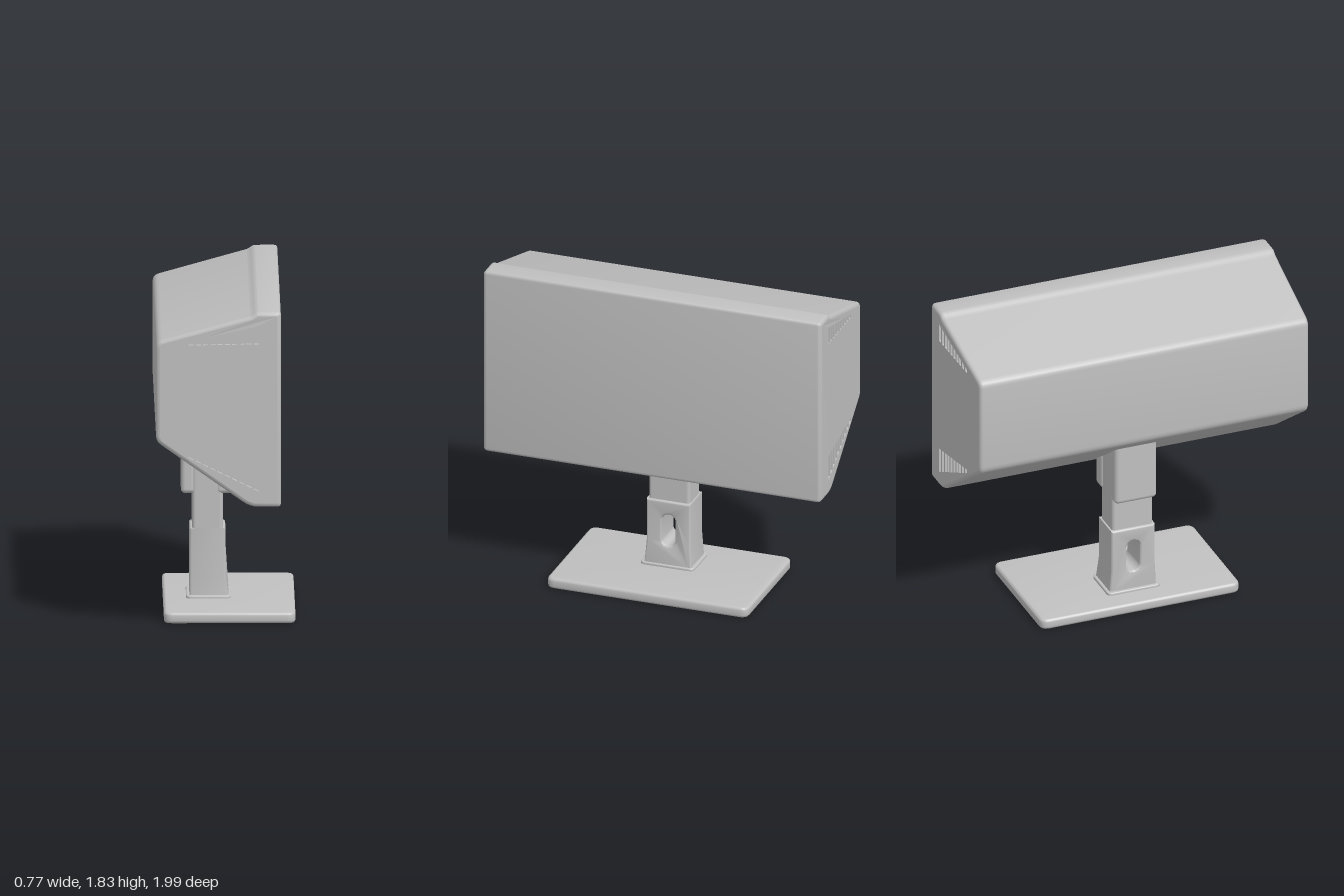
import * as THREE from 'three';
import { RoundedBoxGeometry } from 'three/addons/geometries/RoundedBoxGeometry.js';
import { toCreasedNormals } from 'three/addons/utils/BufferGeometryUtils.js';

const grey = new THREE.MeshStandardMaterial({ color: 0xc0c0c0 });
grey.name = 'plain grey';

// Housing profile, counter-clockwise: x, y, corner radius
const PROFILE = [
  [-0.39, 1.098, 0.035], [0.13, 0.732, 0.05], [0.3, 0.732, 0.02],
  [0.3, 1.828, 0.02], [0.168, 1.828, 0.012], [0.135, 1.806, 0.012], [-0.39, 1.662, 0.035],
];
const END = 0.995, RECESS = 0.025, EDGE = 0.022;

// Profile moved inwards by d, with rounded corners
function outline(d) {
  const n = PROFILE.length;
  const corners = PROFILE.map((p, i) => {
    const a = PROFILE[(i + n - 1) % n], b = PROFILE[(i + 1) % n];
    const e1 = new THREE.Vector2(p[0] - a[0], p[1] - a[1]).normalize();
    const e2 = new THREE.Vector2(b[0] - p[0], b[1] - p[1]).normalize();
    const n1 = new THREE.Vector2(-e1.y, e1.x), n2 = new THREE.Vector2(-e2.y, e2.x);
    const k = d / (1 + n1.dot(n2));
    return { p: new THREE.Vector2(p[0], p[1]).addScaledVector(n1.add(n2), k), e1, e2 };
  });
  const pts = [];
  corners.forEach(({ p, e1, e2 }, i) => {
    const r = Math.max(PROFILE[i][2] - d * 0.6, 0.004);
    const curve = new THREE.QuadraticBezierCurve(
      p.clone().addScaledVector(e1, -r), p, p.clone().addScaledVector(e2, r));
    pts.push(...curve.getPoints(4));
  });
  return pts;
}

// The housing narrows slightly towards its rear
function taper(geo) {
  const pos = geo.attributes.position;
  for (let i = 0; i < pos.count; i++) {
    const t = Math.max(0, (0.17 - pos.getX(i)) / 0.56);
    pos.setZ(i, pos.getZ(i) * (1 - 0.016 * t));
  }
  geo.computeVertexNormals();
  return geo;
}

// Skin through rounded rings from one end to the other
function housingGeometry() {
  const half = [0, 1, 2, 3, 4].map((i) => {
    const a = (i / 4) * Math.PI / 2;
    return [END - EDGE * (1 - Math.sin(a)), EDGE * (1 - Math.cos(a))];
  });
  const rings = [...half.map(([z, d]) => [-z, d]).reverse(), ...half];
  const verts = [], index = [];
  let n = 0;
  rings.forEach(([z, d]) => {
    const pts = outline(d);
    n = pts.length;
    pts.forEach((p) => verts.push(p.x, p.y, z));
  });
  for (let r = 0; r < rings.length - 1; r++) {
    for (let i = 0; i < n; i++) {
      const a = r * n + i, b = r * n + (i + 1) % n;
      index.push(a, b, b + n, a, b + n, a + n);
    }
  }
  const geo = new THREE.BufferGeometry();
  geo.setAttribute('position', new THREE.Float32BufferAttribute(verts, 3));
  geo.setIndex(index);
  return toCreasedNormals(taper(geo), 0.55);
}

// Slot between two lines that run from x = -0.2 to x = 0.18
function slot(x, low, high) {
  const w = 0.028, y = (line, px) => THREE.MathUtils.mapLinear(px, -0.2, 0.18, line[0], line[1]);
  return new THREE.Path([
    new THREE.Vector2(x, y(low, x)), new THREE.Vector2(x, y(high, x)),
    new THREE.Vector2(x + w, y(high, x + w)), new THREE.Vector2(x + w, y(low, x + w)),
  ]);
}

function ventPanelGeometry() {
  const shape = new THREE.Shape(outline(EDGE));
  for (let i = 0; i < 10; i++) {
    const x = -0.21 + i * 0.04;
    shape.holes.push(slot(x, [1.642, 1.65], [1.665, 1.752]));
    shape.holes.push(slot(x, [1.005, 0.82], [1.03, 0.968]));
  }
  return new THREE.ExtrudeGeometry(shape, { depth: RECESS, bevelEnabled: false });
}

function add(group, name, geo) {
  const mesh = new THREE.Mesh(geo, grey);
  mesh.name = name;
  group.add(mesh);
  return mesh;
}

// Rounded box given by its limits
function block(group, name, x0, x1, y0, y1, z0, z1, r) {
  const geo = new RoundedBoxGeometry(x1 - x0, y1 - y0, z1 - z0, 3, r);
  add(group, name, geo).position.set((x0 + x1) / 2, (y0 + y1) / 2, (z0 + z1) / 2);
}

// Rounded plate lying flat, given by its limits
function plate(group, name, x0, x1, y0, y1, z0, z1, r, bevel) {
  const s = new THREE.Shape();
  s.moveTo(x0 + r, z0).lineTo(x1 - r, z0).quadraticCurveTo(x1, z0, x1, z0 + r);
  s.lineTo(x1, z1 - r).quadraticCurveTo(x1, z1, x1 - r, z1);
  s.lineTo(x0 + r, z1).quadraticCurveTo(x0, z1, x0, z1 - r);
  s.lineTo(x0, z0 + r).quadraticCurveTo(x0, z0, x0 + r, z0);
  const geo = new THREE.ExtrudeGeometry(s, {
    depth: y1 - y0 - 2 * bevel, bevelThickness: bevel, bevelSize: bevel,
    bevelOffset: -bevel, bevelSegments: 3, curveSegments: 6,
  });
  geo.rotateX(Math.PI / 2).translate(0, y1 - bevel, 0);
  add(group, name, toCreasedNormals(geo, 0.6));
}

// Lower column with a cable slot running through it
function sleeveGeometry() {
  const s = new THREE.Shape([
    new THREE.Vector2(-0.15, 0.05), new THREE.Vector2(0.13, 0.05),
    new THREE.Vector2(0.118, 0.2), new THREE.Vector2(0.118, 0.45),
    new THREE.Vector2(-0.142, 0.45), new THREE.Vector2(-0.142, 0.2),
  ]);
  const hole = new THREE.Path();
  hole.absarc(-0.012, 0.33, 0.04, 0, Math.PI, false);
  hole.absarc(-0.012, 0.22, 0.04, Math.PI, Math.PI * 2, false);
  hole.closePath();
  s.holes.push(hole);
  const geo = new THREE.ExtrudeGeometry(s, {
    depth: 0.176, bevelThickness: 0.012, bevelSize: 0.012, bevelOffset: -0.012,
    bevelSegments: 3, curveSegments: 10,
  });
  geo.rotateY(Math.PI / 2).translate(-0.185, 0, 0);
  // front face flares a little towards the foot
  const pos = geo.attributes.position;
  for (let i = 0; i < pos.count; i++) {
    if (pos.getX(i) > -0.1) pos.setX(i, pos.getX(i) + 0.02 * Math.max(0, (0.2 - pos.getY(i)) / 0.15));
  }
  geo.computeVertexNormals();
  return toCreasedNormals(geo, 0.6);
}

export function createModel() {
  const model = new THREE.Group();
  model.name = 'desktopMonitor';

  // Display housing with vented ends
  const display = new THREE.Group();
  display.name = 'display';
  model.add(display);
  add(display, 'housing', housingGeometry());
  for (const side of [1, -1]) {
    const panel = ventPanelGeometry().translate(0, 0, side > 0 ? END - RECESS : -END);
    add(display, side > 0 ? 'leftVentPanel' : 'rightVentPanel', taper(panel));
    const floor = new THREE.ShapeGeometry(new THREE.Shape(outline(EDGE)));
    if (side < 0) floor.rotateY(Math.PI).scale(-1, 1, 1).index.array.reverse();
    floor.translate(0, 0, side * (END - RECESS));
    add(display, side > 0 ? 'leftVentFloor' : 'rightVentFloor', taper(floor));
  }

  // Stand
  const stand = new THREE.Group();
  stand.name = 'stand';
  model.add(stand);
  plate(stand, 'base', -0.342, 0.385, 0, 0.06, -0.592, 0.592, 0.05, 0.015);
  plate(stand, 'collar', -0.215, 0.03, 0.05, 0.075, -0.145, 0.17, 0.03, 0.006);
  add(stand, 'lowerColumn', sleeveGeometry());
  block(stand, 'upperColumn', -0.182, -0.012, 0.42, 1.15, -0.108, 0.135, 0.02);
  block(stand, 'frontBracket', -0.05, 0.048, 0.642, 0.95, -0.118, 0.14, 0.025);
  block(stand, 'rearBracket', -0.244, -0.165, 0.642, 1.1, -0.115, 0.135, 0.025);
  return model;
}
